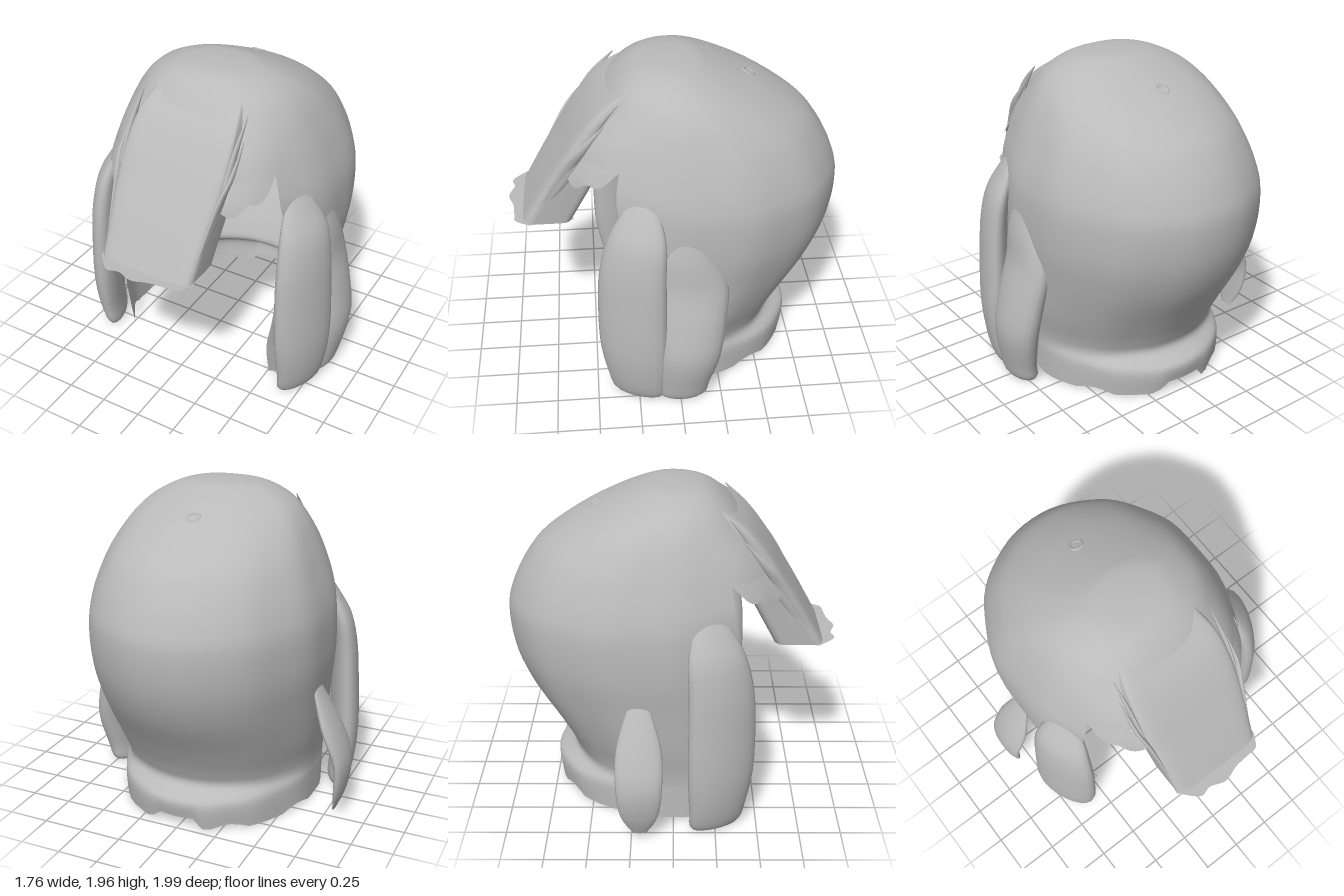
import * as THREE from 'three';

const hair = new THREE.MeshStandardMaterial({ color: 0xbababa, side: THREE.DoubleSide });
hair.name = 'hair grey';

// Surface from a rule f(u, v) -> [x, y, z]; wrap joins the first and last columns
function surface(nu, nv, f, wrap = false) {
  const pos = [], idx = [], cols = wrap ? nu : nu + 1;
  for (let j = 0; j <= nv; j++)
    for (let i = 0; i < cols; i++) pos.push(...f(i / nu, j / nv));
  for (let j = 0; j < nv; j++)
    for (let i = 0; i < nu; i++) {
      const k = (i + 1) % cols, a = j * cols + i, b = j * cols + k;
      const c = a + cols, d = b + cols;
      idx.push(a, b, c, b, d, c);
    }
  const g = new THREE.BufferGeometry();
  g.setAttribute('position', new THREE.Float32BufferAttribute(pos, 3));
  g.setIndex(idx);
  g.computeVertexNormals();
  return g;
}

// Smooth blend through rows of numbers at a fractional row number
function blend(rows, t) {
  const n = rows.length - 1, i = Math.min(Math.floor(t), n - 1), s = t - i;
  const r = k => rows[Math.max(0, Math.min(n, k))];
  return rows[0].map((_, c) => {
    const [a, b, d, e] = [r(i - 1)[c], r(i)[c], r(i + 1)[c], r(i + 2)[c]];
    return b + 0.5 * s * (d - a + s * (2 * a - 5 * b + 4 * d - e + s * (3 * (b - d) + e - a)));
  });
}

// Shell cross-sections: height, half width, back z, middle z, front z
const SHELL = [
  [1.96, 0.001, -0.001, 0, 0.001],
  [1.95, 0.18, -0.14, 0, 0.14],
  [1.92, 0.3, -0.23, -0.01, 0.23],
  [1.85, 0.43, -0.39, -0.04, 0.32],
  [1.75, 0.52, -0.59, -0.09, 0.41],
  [1.62, 0.59, -0.78, -0.14, 0.53],
  [1.5, 0.64, -0.88, -0.17, 0.6],
  [1.35, 0.69, -0.96, -0.18, 0.64],
  [1.2, 0.715, -1.0, -0.18, 0.62],
  [0.97, 0.715, -0.98, -0.16, 0.62],
  [0.75, 0.69, -0.9, -0.12, 0.6],
  [0.5, 0.66, -0.75, -0.06, 0.56],
  [0.33, 0.63, -0.66, 0, 0.54],
  [0.24, 0.62, -0.64, 0.02, 0.52],
  [0.16, 0.62, -0.74, 0.02, 0.5],
  [0, 0.62, -0.73, 0.02, 0.45],
];
const CUT = 6, END = SHELL.length - 1, OPEN = Math.PI * 130 / 180;

// Point on the shell; angle 0 is the back, PI the front
function shellPoint(a, t) {
  const [y, w, zb, zc, zf] = blend(SHELL, t);
  const s = Math.sin(a), c = Math.cos(a);
  const ripple = 1 + 0.008 * Math.sin(Math.abs(a) * 11) * Math.min(1, t / 6) * Math.abs(s);
  return [
    0.015 + Math.sign(s) * Math.pow(Math.abs(s), c > 0 ? 1 : 0.75) * w * ripple,
    y,
    c > 0 ? zc - (zc - zb) * c * ripple : zc - (zf - zc) * c,
  ];
}

// Lock of hair lofted through rows of [y, x, z, rx, rz]; lean shifts its front edge inward
function lock(rows, side = 1, lean = 0) {
  return surface(20, (rows.length - 1) * 4, (u, v) => {
    const [y, x, z, rx, rz] = blend(rows, v * (rows.length - 1));
    const a = u * Math.PI * 2, dz = -Math.cos(a) * rz;
    return [side * (x - lean * dz) + Math.sin(a) * rx, Math.max(0, y), z + dz];
  }, true);
}

export function createModel() {
  const model = new THREE.Group();
  model.name = 'hairpiece';
  const add = (name, g) => {
    const m = new THREE.Mesh(g, hair);
    m.name = name;
    model.add(m);
    return m;
  };

  // Rounded top, closed all around
  add('crown', surface(72, 36, (u, v) => shellPoint((u * 2 - 1) * Math.PI, v * CUT)));

  // Back and sides, open at the front, with a ragged hem
  add('backHair', surface(52, 60, (u, v) => {
    const a = (u * 2 - 1) * OPEN;
    const p = shellPoint(a, CUT + v * (END - CUT));
    const notch = Math.abs(a) < 0.2 ? 0.065 : Math.max(0, 0.03 * Math.sin(a * 9));
    p[1] += notch * Math.max(0, 1 - p[1] / 0.2);
    return p;
  }));

  // Side bangs hanging below the crown on either side of the forelock
  for (const s of [1, -1])
    add(s > 0 ? 'leftBangs' : 'rightBangs', surface(24, 6, (u, v) => {
      const k = s > 0 ? u : 1 - u;
      const depth = Math.min(1, k * 3) * (0.95 + 0.2 * Math.sin(k * 12));
      const p = shellPoint(s * (OPEN + 0.19 * Math.PI * k), CUT + v * depth);
      p[2] += 0.05 * v * k;
      return p;
    }));

  // Broad forelock, its top sunk into the crown: y, front z, rear z, half width
  const FORE = [
    [1.89, 0.22, 0.12, 0.25], [1.75, 0.425, 0.28, 0.31], [1.58, 0.565, 0.33, 0.33],
    [1.43, 0.66, 0.39, 0.33], [1.25, 0.77, 0.48, 0.315], [1.02, 0.9, 0.6, 0.295],
  ];
  add('forelock', surface(40, 20, (u, v) => {
    const [y, zf, zr, w] = blend(FORE, v * 5);
    const a = u * Math.PI * 2, c = -Math.cos(a), s = Math.sin(a);
    const q = n => Math.sign(n) * Math.pow(Math.abs(n), 0.3);
    return [0.02 + w * q(s), y, (zf + zr) / 2 + q(c) * (zf - zr) / 2];
  }, true));

  // Flat cut end of the forelock with a wavy front edge
  const tip = new THREE.Shape();
  tip.moveTo(-0.24, 0.6);
  tip.lineTo(0.28, 0.6);
  tip.lineTo(0.32, 0.86);
  tip.splineThru([[0.27, 0.94], [0.2, 0.95], [0.1, 0.96], [0.0, 0.99], [-0.1, 0.96],
    [-0.18, 0.97], [-0.28, 0.87]].map(p => new THREE.Vector2(...p)));
  const tipGeo = new THREE.ShapeGeometry(tip, 6);
  tipGeo.rotateX(Math.PI / 2);
  add('forelockTip', tipGeo).position.y = 1.02;

  // Thin loose strands along both edges of the forelock
  for (const s of [1, -1])
    for (let i = 0; i < 2; i++) {
      const top = 1.82 - i * 0.12, x = 0.335 + i * 0.02, z = 0.32 + i * 0.08;
      add(s > 0 ? 'leftStrand' : 'rightStrand', lock([
        [top, x, z, 0.002, 0.005], [top - 0.15, x, z + 0.13, 0.012, 0.03],
        [1.4, 0.325, 0.6 + i * 0.03, 0.014, 0.04], [1.1, 0.29, 0.79 + i * 0.02, 0.003, 0.01],
      ], s)).position.x = 0.02;
    }

  // Long locks framing the face, growing out of the shell edge
  const FACE = [
    [1.38, 0.59, 0.2, 0.01, 0.05], [1.25, 0.635, 0.22, 0.05, 0.12], [1.12, 0.675, 0.245, 0.075, 0.165],
    [0.95, 0.695, 0.27, 0.085, 0.185], [0.75, 0.705, 0.28, 0.09, 0.195], [0.4, 0.715, 0.28, 0.095, 0.195],
    [0.15, 0.71, 0.265, 0.08, 0.17], [0.01, 0.69, 0.25, 0.06, 0.14], [0, 0.69, 0.25, 0.001, 0.001],
  ];
  add('leftFaceLock', lock(FACE, 1, 0.35)).position.x = 0.015;
  add('rightFaceLock', lock(FACE, -1, 0.35)).position.x = 0.025;

  // Full lock beside the left ear, growing out of the shell
  add('leftSideLock', lock([
    [1.25, 0.68, -0.04, 0.01, 0.05], [1.0, 0.685, -0.05, 0.07, 0.15], [0.8, 0.695, -0.08, 0.085, 0.2],
    [0.58, 0.74, -0.07, 0.1, 0.2], [0.35, 0.775, -0.05, 0.105, 0.19], [0.12, 0.755, -0.02, 0.09, 0.16],
    [0.01, 0.735, -0.01, 0.075, 0.14], [0, 0.735, -0.01, 0.001, 0.001],
  ]));

  // Thin lock flicking outward on the right
  add('rightFlickLock', lock([
    [0.85, 0.65, -0.2, 0.01, 0.05], [0.6, 0.75, -0.2, 0.045, 0.13], [0.38, 0.835, -0.2, 0.04, 0.135],
    [0.18, 0.83, -0.2, 0.03, 0.11], [0.04, 0.8, -0.2, 0.008, 0.04],
  ], -1));

  // Small whorl at the back of the crown
  const whorl = add('whorl', new THREE.TorusGeometry(0.035, 0.012, 8, 20));
  whorl.position.set(0.01, 1.815, -0.45);
  whorl.rotation.x = Math.PI / 2 - 0.5;

  return model;
}
